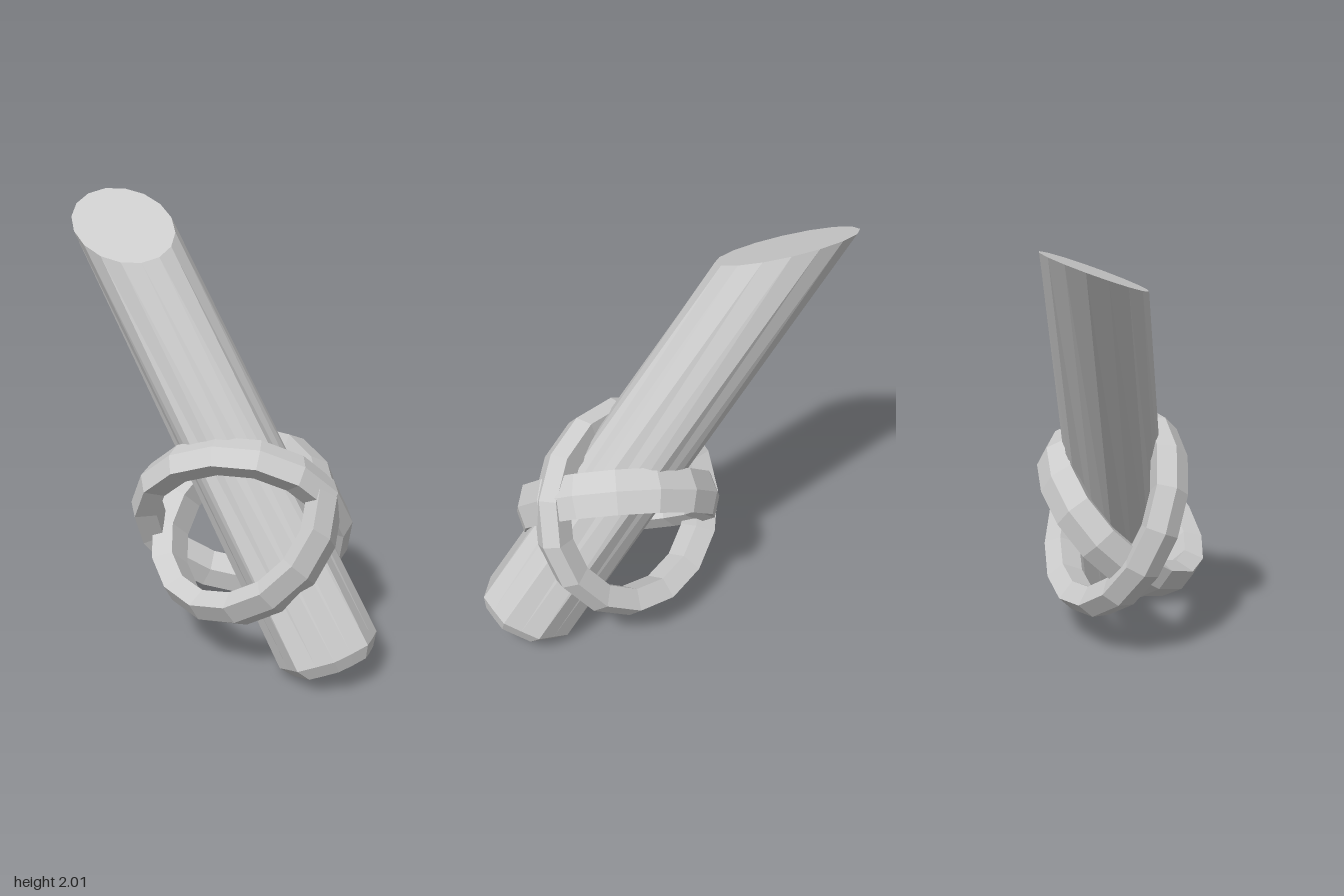
import * as THREE from 'three';

const material = new THREE.MeshStandardMaterial({ color: 0xcccccc, flatShading: true });

// Slanted rod: chamfered octagonal foot blending into a rounder, obliquely cut top
function makeRod() {
  const length = 2.1, tilt = -0.599;
  const profile = [[0, 0], [0.19, 0], [0.235, 0.06], [0.212, length], [0, length]];
  const geometry = new THREE.LatheGeometry(profile.map(p => new THREE.Vector2(...p)), 16);
  const position = geometry.attributes.position;
  const axis = new THREE.Vector3(0, Math.cos(tilt), Math.sin(tilt));
  const cutNormal = new THREE.Vector3(-0.37, 1, 0.17);
  const cutPoint = new THREE.Vector3(0.035, 1.905, -0.565);
  const v = new THREE.Vector3();
  for (let i = 0; i < position.count; i++) {
    v.fromBufferAttribute(position, i);
    const column = Math.floor(i / profile.length);
    const isTop = v.y > 1;
    if (!isTop) {
      // the foot is cut slightly askew, and every second corner lies on the octagon's edge
      v.y -= 0.03 + 0.12 * v.z;
      if (column % 2) {
        v.x *= Math.cos(Math.PI / 8);
        v.z *= Math.cos(Math.PI / 8);
      }
    }
    v.applyAxisAngle(new THREE.Vector3(1, 0, 0), tilt).add(new THREE.Vector3(0.04, 0.112, 0.663));
    // slide the top along the rod onto the cutting plane
    if (isTop) {
      const t = cutPoint.clone().sub(v).dot(cutNormal) / axis.dot(cutNormal);
      v.addScaledVector(axis, t);
    }
    position.setXYZ(i, v.x, v.y, v.z);
  }
  geometry.computeVertexNormals();
  const rod = new THREE.Mesh(geometry, material);
  rod.name = 'rod';
  return rod;
}

// Faceted ring: a broad, slightly ridged outside and a narrower inside
function makeRing(name, radius, thickness, width, center, normal) {
  const t = thickness / 2, w = width / 2;
  const section = [
    [-t, -w * 0.65], [t * 0.5, -w], [t, 0], [t * 0.5, w], [-t, w * 0.65], [-t, -w * 0.65],
  ].map(([r, y]) => new THREE.Vector2(radius + r, y));
  const ring = new THREE.Mesh(new THREE.LatheGeometry(section, 15), material);
  ring.name = name;
  ring.position.set(...center);
  ring.quaternion.setFromUnitVectors(new THREE.Vector3(0, 1, 0), new THREE.Vector3(...normal).normalize());
  return ring;
}

export function createModel() {
  const group = new THREE.Group();
  group.name = 'rodWithLinkedRings';
  group.add(
    makeRod(),
    makeRing('outerRing', 0.45, 0.13, 0.17, [0.035, 0.64, 0.14], [0.79, 0.43, -0.44]),
    makeRing('innerRing', 0.42, 0.12, 0.2, [0, 0.64, 0.185], [0.7, -0.7, 0.12]),
  );
  return group;
}
